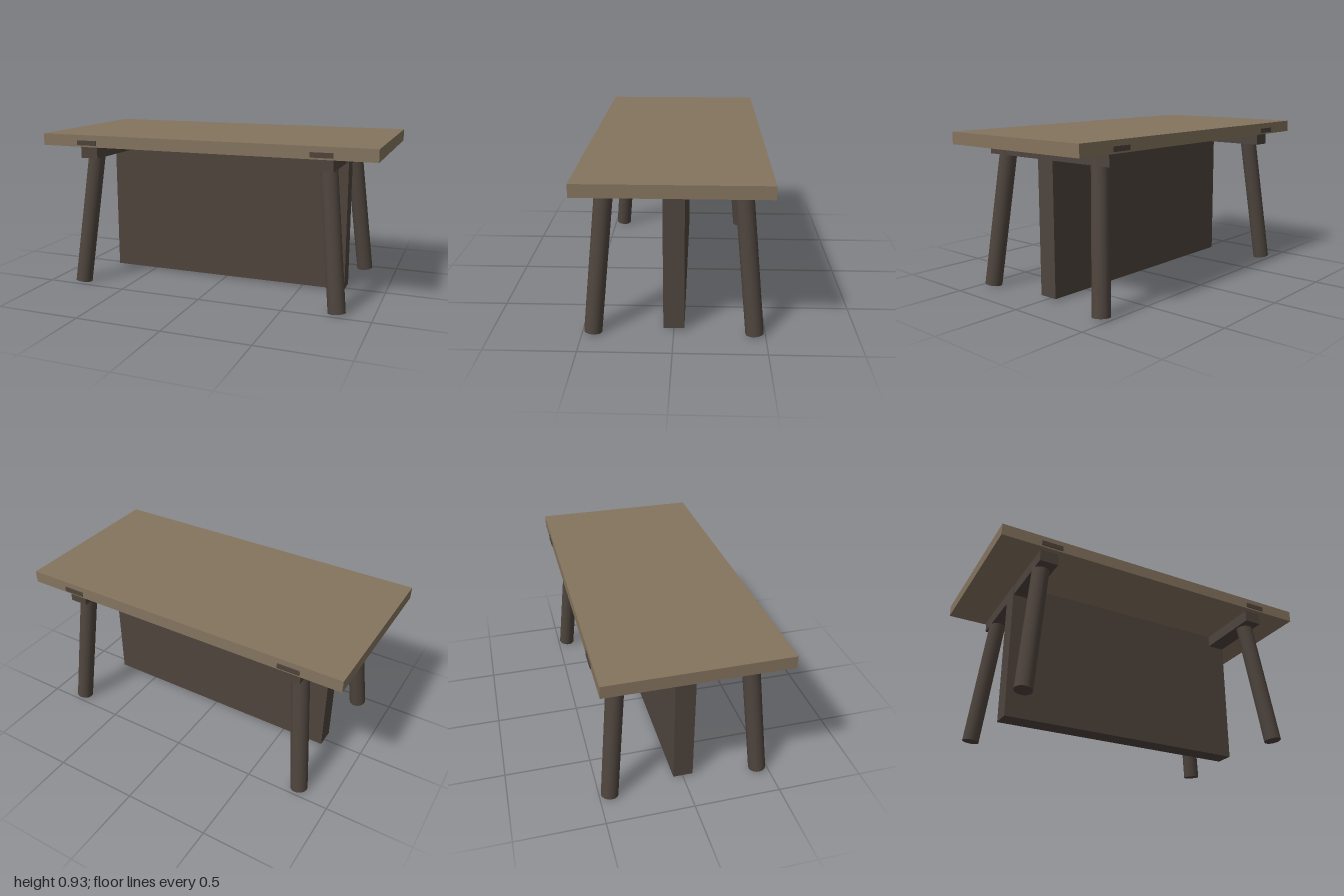
import * as THREE from 'three';

export function createModel() {
  const model = new THREE.Group();
  model.name = 'trestleTable';

  const lightWood = new THREE.MeshStandardMaterial({ color: 0x85745f });
  lightWood.name = 'lightWood';
  const darkWood = new THREE.MeshStandardMaterial({ color: 0x4e443d });
  darkWood.name = 'darkWood';

  // Box given by its size, centre x and z, and bottom height
  function addBox(name, material, w, h, d, x, bottom, z) {
    const mesh = new THREE.Mesh(new THREE.BoxGeometry(w, h, d), material);
    mesh.name = name;
    mesh.position.set(x, bottom + h / 2, z);
    model.add(mesh);
  }

  // Round leg running from foot to head, ends cut square to its axis
  function addLeg(name, foot, head) {
    const axis = head.clone().sub(foot);
    const geometry = new THREE.CylinderGeometry(0.05, 0.05, axis.length(), 16);
    const mesh = new THREE.Mesh(geometry, darkWood);
    mesh.name = name;
    mesh.position.copy(foot).add(head).multiplyScalar(0.5);
    mesh.quaternion.setFromUnitVectors(new THREE.Vector3(0, 1, 0), axis.normalize());
    model.add(mesh);
  }

  // Top board and the upright panel beneath it
  addBox('tableTop', lightWood, 2, 0.07, 1, 0, 0.856, 0);
  addBox('centrePanel', darkWood, 1.528, 0.846, 0.116, 0, 0.011, 0);

  for (const sx of [1, -1]) {
    const side = sx > 0 ? 'left' : 'right';

    // Cross batten under the top, with its key showing at both long edges
    addBox(side + 'Batten', darkWood, 0.108, 0.071, 0.94, sx * 0.708, 0.786, 0);
    addBox(side + 'BattenKey', darkWood, 0.126, 0.028, 1.01, sx * 0.704, 0.866, 0);

    // Splayed legs
    for (const sz of [1, -1]) {
      addLeg(
        side + (sz > 0 ? 'Front' : 'Back') + 'Leg',
        new THREE.Vector3(sx * 0.8, 0.008, sz * 0.441),
        new THREE.Vector3(sx * 0.709, 0.86, sz * 0.36)
      );
    }
  }

  return model;
}
